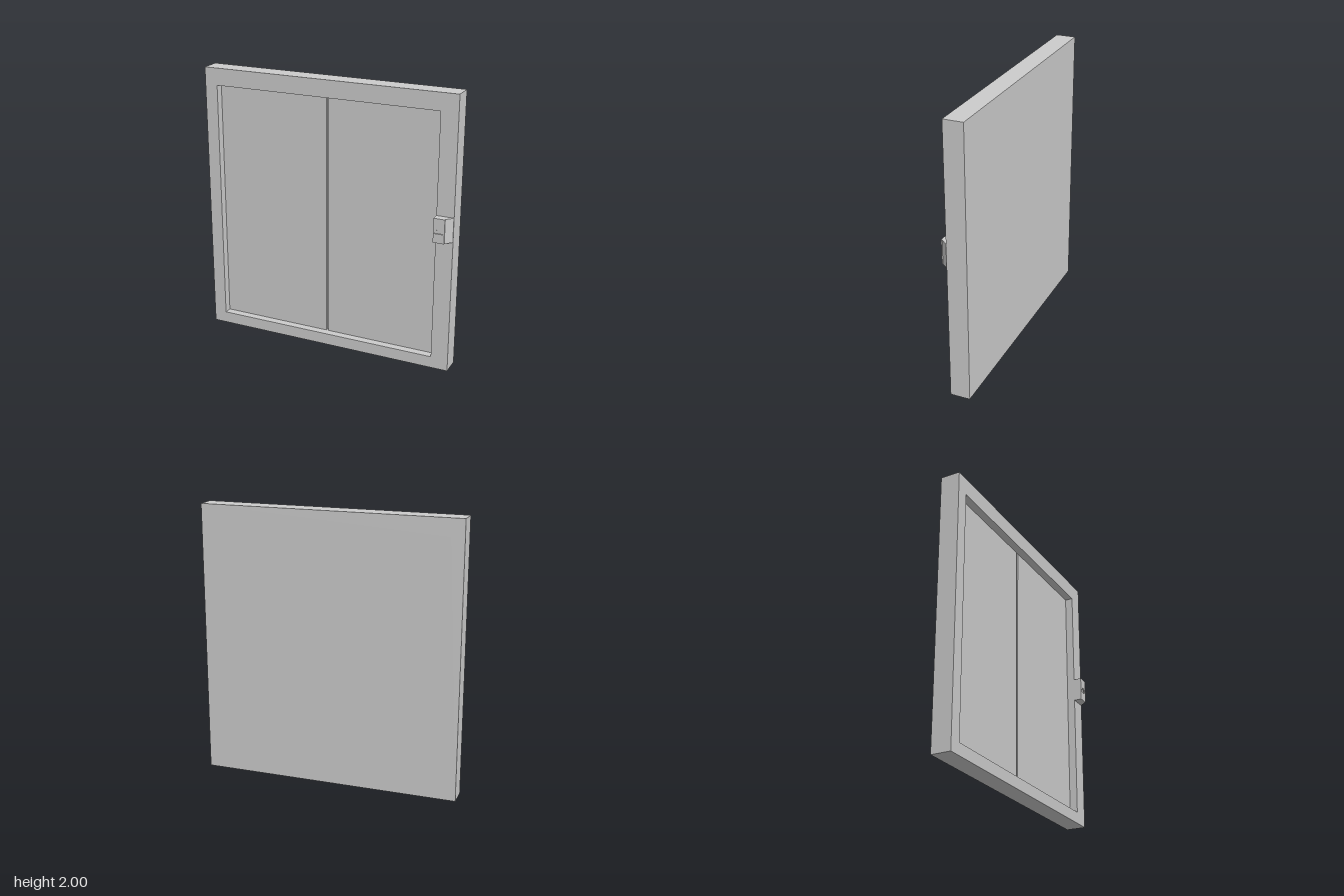
import * as THREE from 'three';

const BACK = -0.1, FRONT = 0.043, DOOR = -0.015;

export function createModel() {
  const group = new THREE.Group();
  const material = new THREE.MeshStandardMaterial({ color: 0xcccccc, flatShading: true });

  const add = (name, geometry) => {
    const mesh = new THREE.Mesh(geometry, material);
    mesh.name = name;
    group.add(mesh);
    return mesh;
  };
  const box = (name, x0, x1, y0, y1, z0, z1) => {
    const mesh = add(name, new THREE.BoxGeometry(x1 - x0, y1 - y0, z1 - z0));
    mesh.position.set((x0 + x1) / 2, (y0 + y1) / 2, (z0 + z1) / 2);
  };
  const outline = (points) => points.map(([x, y]) => new THREE.Vector2(x, y));
  const extrude = (points, holes, z0, z1) => {
    const shape = new THREE.Shape(outline(points));
    holes.forEach((hole) => shape.holes.push(new THREE.Path(outline(hole))));
    return new THREE.ExtrudeGeometry(shape, { depth: z1 - z0, bevelEnabled: false }).translate(0, 0, z0);
  };
  const rect = (x0, x1, y0, y1) => [[x0, y0], [x1, y0], [x1, y1], [x0, y1]];

  // Surround with the doorway cut out, closed by a back slab
  const [left, right, bottom, top] = [-0.855, 0.825, 0.085, 1.875];
  add('doorFrame', extrude(rect(-0.95, 0.95, 0, 2), [rect(left, right, bottom, top)], BACK, FRONT));
  box('backPanel', left, right, bottom, top, BACK, DOOR - 0.02);

  // Two sliding doors with a narrow gap between them
  box('rightDoor', left, -0.02, bottom, top, DOOR - 0.02, DOOR);
  box('leftDoor', -0.002, right, bottom, top, DOOR - 0.02, DOOR);

  // Call panel: chamfered outer edge, triangular recess in the face
  const [y0, y1, face, lip] = [0.98, 1.155, 0.1, 0.905];
  const triangle = [[0.832, 1.046], [0.896, 1.046], [0.864, 1.092]];
  const profile = [[0.825, FRONT], [0.948, FRONT], [lip, face - 0.008], [0.825, face - 0.008]];
  const body = extrude(profile.map(([x, z]) => [x, -z]).reverse(), [], y0, y1);
  // Stand the plan profile upright
  add('callPanel', body.rotateX(-Math.PI / 2));
  add('callPanelFace', extrude(rect(0.825, lip, y0, y1), [triangle], face - 0.008, face));

  return group;
}
